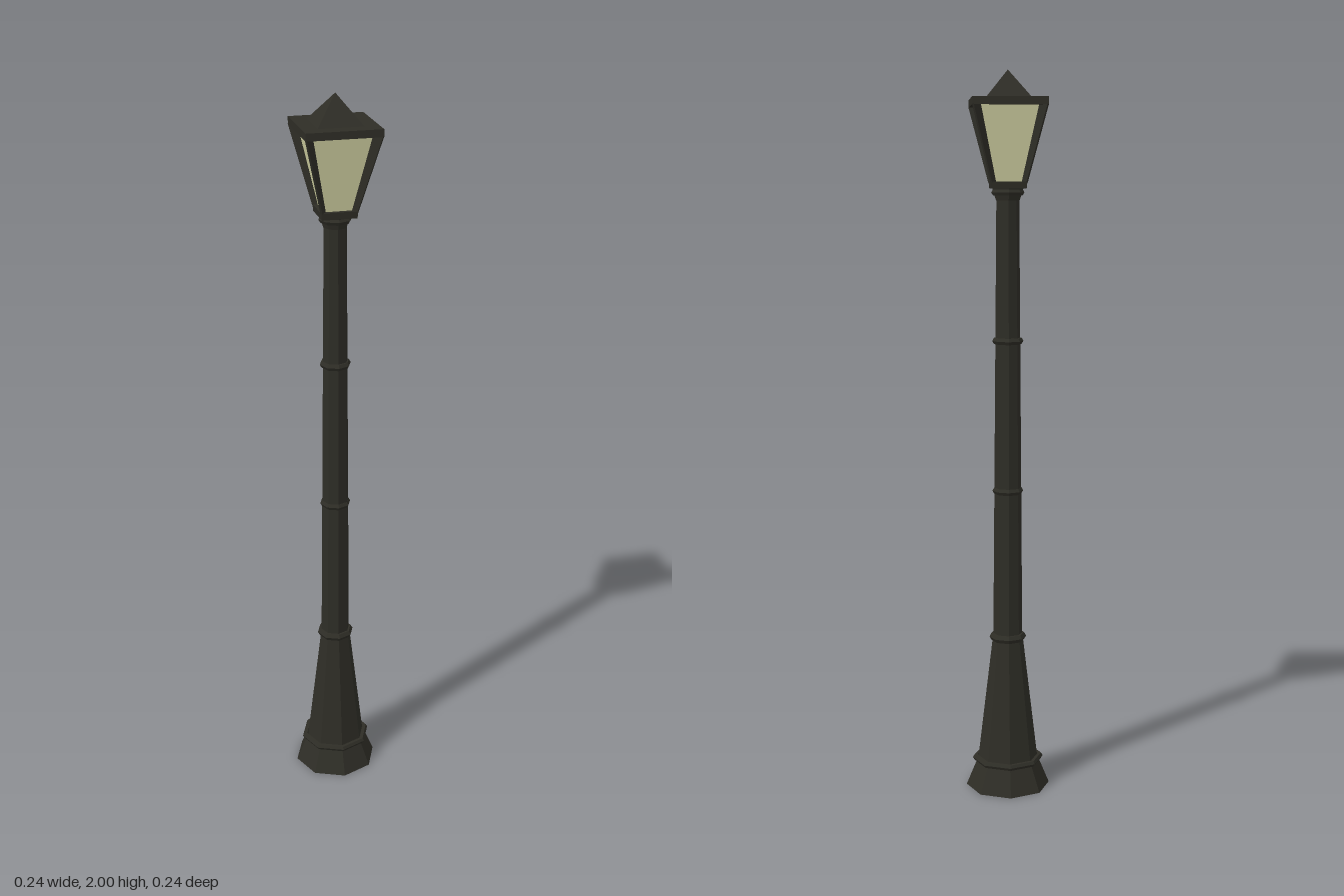
import * as THREE from 'three';

const iron = new THREE.MeshStandardMaterial({ color: 0x2e2d26, flatShading: true });
const glass = new THREE.MeshStandardMaterial({ color: 0xd6d6a6, flatShading: true });

export function createModel() {
  const lamp = new THREE.Group();
  lamp.name = 'streetLamp';

  const add = (name, geometry, material = iron) => {
    const mesh = new THREE.Mesh(geometry, material);
    mesh.name = name;
    lamp.add(mesh);
    return mesh;
  };

  // Octagonal section between two heights, corners on the x and z axes
  const octagon = (name, y0, y1, r0, r1) => {
    add(name, new THREE.CylinderGeometry(r1, r0, y1 - y0, 8).translate(0, (y0 + y1) / 2, 0));
  };

  // Square section given by half widths, sides facing x and z
  const square = (name, y0, y1, h0, h1, material) => {
    const g = new THREE.CylinderGeometry(h1 * Math.SQRT2, h0 * Math.SQRT2, y1 - y0, 4);
    add(name, g.rotateY(Math.PI / 4).translate(0, (y0 + y1) / 2, 0), material);
  };

  // Octagonal bead around the post
  const ring = (name, y, outer, tube) => {
    const g = new THREE.TorusGeometry(outer - tube, tube, 6, 8);
    add(name, g.rotateX(Math.PI / 2).translate(0, y, 0));
  };

  // Foot and post
  octagon('foot', 0, 0.075, 0.118, 0.087);
  ring('footRing', 0.08, 0.1, 0.009);
  octagon('pedestal', 0.075, 0.43, 0.085, 0.043);
  octagon('post', 0.43, 1.67, 0.041, 0.031);
  ring('pedestalRing', 0.437, 0.052, 0.012);
  [0.857, 1.275].forEach((y) => ring('postRing', y, 0.043, 0.01));

  // Neck under the lantern
  octagon('neck', 1.655, 1.69, 0.032, 0.043);
  ring('neckRing', 1.677, 0.045, 0.01);

  // Lantern
  square('lanternBase', 1.687, 1.706, 0.047, 0.049);
  square('lanternGlass', 1.704, 1.907, 0.037, 0.08, glass);
  square('lanternTop', 1.905, 1.925, 0.1, 0.1);
  square('roof', 1.925, 2.0, 0.06, 0);

  // Thin corner fins standing out diagonally from the glass
  const fin = new THREE.Shape([
    [0.036, 1.703], [0.048, 1.703], [0.099, 1.907], [0.079, 1.907],
  ].map(([x, y]) => new THREE.Vector2(x * Math.SQRT2, y)));
  const finGeometry = new THREE.ExtrudeGeometry(fin, { depth: 0.006, bevelEnabled: false }).translate(0, 0, -0.003);
  for (let i = 0; i < 4; i++) {
    add('lanternFin', finGeometry).rotation.y = Math.PI / 4 + (i * Math.PI) / 2;
  }

  return lamp;
}
